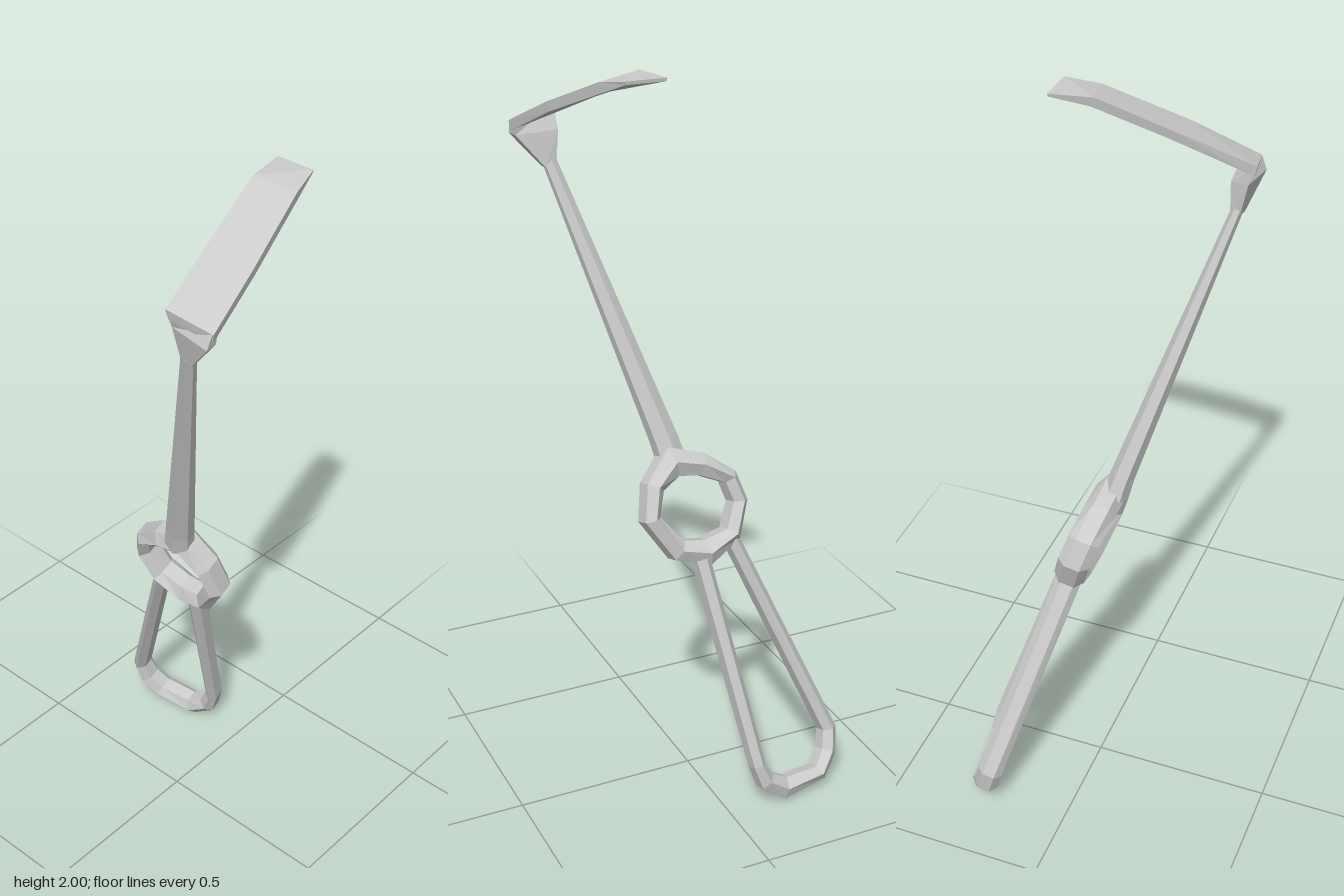
import * as THREE from 'three';

const V = (p) => new THREE.Vector3(p[0], p[1], p[2]);
const steel = new THREE.MeshStandardMaterial({ color: 0xcccccc, flatShading: true });
// Normal of the plane in which the handle and ring lie
const planeNormal = new THREE.Vector3(1, 0.3, -0.12).normalize();

// Skins a list of equal-sized cross-sections (corners counter-clockwise about the travel direction)
function loft(name, sections, closed = false) {
  const pos = [];
  const tri = (...corners) => corners.forEach((c) => pos.push(c.x, c.y, c.z));
  const n = sections[0].length;
  const last = sections.length - 1;
  for (let i = 0; i < (closed ? last + 1 : last); i++) {
    const a = sections[i];
    const b = sections[(i + 1) % sections.length];
    for (let j = 0; j < n; j++) {
      const k = (j + 1) % n;
      tri(a[j], a[k], b[k]);
      tri(a[j], b[k], b[j]);
    }
  }
  if (!closed) {
    for (let j = 1; j < n - 1; j++) {
      tri(sections[0][0], sections[0][j + 1], sections[0][j]);
      tri(sections[last][0], sections[last][j], sections[last][j + 1]);
    }
  }
  const geometry = new THREE.BufferGeometry();
  geometry.setAttribute('position', new THREE.Float32BufferAttribute(pos, 3));
  geometry.computeVertexNormals();
  const mesh = new THREE.Mesh(geometry, steel);
  mesh.name = name;
  return mesh;
}

// Six-sided bar along nodes [x, y, z, half width in the plane, half thickness across it]
function bar(name, nodes, closed = false) {
  const count = nodes.length;
  const at = (i) => V(nodes[closed ? (i + count) % count : Math.min(Math.max(i, 0), count - 1)]);
  const profile = [[1, 0], [0.5, 1], [-0.5, 1], [-1, 0], [-0.5, -1], [0.5, -1]];
  const sections = nodes.map((node, i) => {
    const p = at(i);
    const before = p.clone().sub(at(i - 1)).normalize();
    const after = at(i + 1).sub(p).normalize();
    const tangent = before.add(after).normalize();
    const side = tangent.cross(planeNormal).normalize();
    return profile.map(([t, w]) => p.clone()
      .addScaledVector(planeNormal, t * node[4])
      .addScaledVector(side, w * node[3]));
  });
  return loft(name, sections, closed);
}

export function createModel() {
  const model = new THREE.Group();
  model.name = 'retractor';

  // Finger ring: [z, y, half width], leaning with the handle
  const ring = [
    [0.125, 0.81, 0.022], [0.105, 0.89, 0.026], [0.045, 0.945, 0.042],
    [-0.035, 0.925, 0.03], [-0.112, 0.88, 0.021], [-0.132, 0.815, 0.021],
    [-0.1, 0.735, 0.024], [-0.02, 0.7, 0.036], [0.06, 0.72, 0.028],
  ];
  model.add(bar('fingerRing',
    ring.map(([z, y, w]) => [0.025 - 0.32 * (y - 0.82), y, z, w, 0.043]), true));

  // Long open handle loop below the ring
  model.add(bar('handleLoop', [
    [0.08, 0.69, 0.0, 0.02, 0.036],
    [0.262, 0.13, -0.085, 0.018, 0.033],
    [0.268, 0.075, -0.108, 0.025, 0.035],
    [0.265, 0.035, -0.165, 0.03, 0.035],
    [0.25, 0.043, -0.28, 0.023, 0.036],
    [0.225, 0.09, -0.32, 0.024, 0.036],
    [0.207, 0.15, -0.33, 0.021, 0.034],
    [0.055, 0.72, -0.1, 0.018, 0.034],
  ]));

  // Tapering shaft
  model.add(bar('shaft', [
    [-0.028, 0.94, 0.035, 0.036, 0.036],
    [-0.043, 1.0, 0.05, 0.034, 0.033],
    [-0.255, 1.72, 0.266, 0.017, 0.015],
  ]));

  // Flared neck joining shaft and blade
  model.add(loft('neck', [
    [[-0.268, 1.705, 0.283], [-0.242, 1.705, 0.28], [-0.24, 1.71, 0.252], [-0.265, 1.71, 0.252]],
    [[-0.297, 1.79, 0.355], [-0.262, 1.79, 0.35], [-0.24, 1.8, 0.245], [-0.285, 1.8, 0.243]],
    [[-0.283, 1.825, 0.358], [-0.258, 1.828, 0.352], [-0.262, 1.862, 0.248], [-0.303, 1.85, 0.242]],
  ].map((s) => s.map(V))));

  // Blade rising sideways, with a flattened tip
  model.add(loft('blade', [
    [[-0.305, 1.853, 0.242], [-0.282, 1.825, 0.36], [-0.278, 1.8, 0.355], [-0.298, 1.825, 0.245]],
    [[-0.1, 1.932, 0.198], [-0.11, 1.902, 0.325], [-0.1, 1.88, 0.32], [-0.09, 1.908, 0.202]],
    [[0.08, 2.0, 0.16], [0.1, 1.985, 0.27], [0.105, 1.96, 0.266], [0.09, 1.974, 0.164]],
    [[0.19, 2.0, 0.14], [0.19, 2.0, 0.245], [0.189, 1.992, 0.243], [0.189, 1.992, 0.142]],
  ].map((s) => s.map(V))));

  return model;
}
